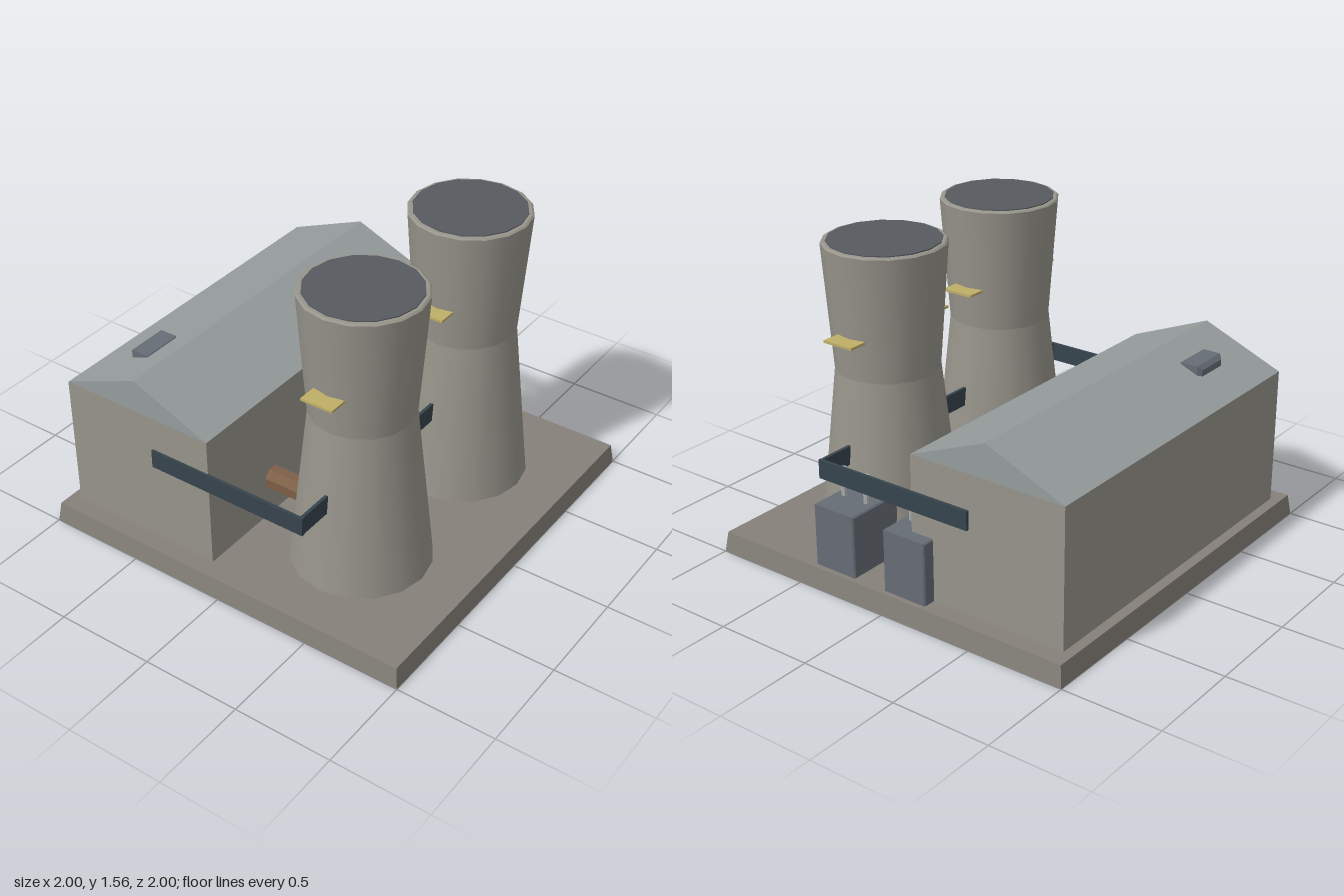
import * as THREE from 'three';

const mat = (color, flatShading = true) => new THREE.MeshStandardMaterial({ color, flatShading });
const concrete = mat(0x97948b);
const smoothConcrete = mat(0x97948b, false);
const slabGrey = mat(0x85817a);
const roofGrey = mat(0x969c9c);
const capGrey = mat(0x565b60);
const steel = mat(0x676d76);
const darkSteel = mat(0x36444d);
const pinGrey = mat(0xa8abac);
const tan = mat(0xbfae68);
const brown = mat(0x7d5f47);

function add(parent, name, geometry, material, x = 0, y = 0, z = 0) {
  const mesh = new THREE.Mesh(geometry, material);
  mesh.name = name;
  mesh.position.set(x, y, z);
  parent.add(mesh);
  return mesh;
}

// Box with small chamfered edges
function chamferBox(w, h, d, c) {
  const x = w / 2 - c, y = h / 2 - c;
  const shape = new THREE.Shape([
    new THREE.Vector2(-x, -y), new THREE.Vector2(x, -y),
    new THREE.Vector2(x, y), new THREE.Vector2(-x, y),
  ]);
  const g = new THREE.ExtrudeGeometry(shape, {
    depth: d - 2 * c, bevelEnabled: true, bevelSize: c, bevelThickness: c, bevelSegments: 1,
  });
  return g.translate(0, 0, -d / 2 + c);
}

// Box whose top face is drawn in by the given inset
function taperedBox(w, h, d, inset) {
  const g = new THREE.BoxGeometry(w, h, d);
  const p = g.attributes.position;
  for (let i = 0; i < p.count; i++) {
    if (p.getY(i) > 0) {
      p.setX(i, p.getX(i) - Math.sign(p.getX(i)) * inset);
      p.setZ(i, p.getZ(i) - Math.sign(p.getZ(i)) * inset);
    }
  }
  g.computeVertexNormals();
  return g;
}

function coolingTower(x) {
  const tower = new THREE.Group();
  tower.name = 'coolingTower';
  tower.position.set(x, 0, 0.415);
  const sides = 16;
  const shell = (name, top, bottom, y0, y1) => add(tower, name,
    new THREE.CylinderGeometry(top, bottom, y1 - y0, sides, 1, true), smoothConcrete, 0, (y0 + y1) / 2, 0);
  shell('lowerShell', 0.25, 0.342, 0.1, 0.94);
  shell('upperShell', 0.295, 0.25, 0.94, 1.55);
  shell('rimChamfer', 0.286, 0.295, 1.55, 1.557);
  add(tower, 'rim', new THREE.RingGeometry(0.26, 0.286, sides).rotateX(-Math.PI / 2), concrete, 0, 1.557, 0);
  add(tower, 'mouth', new THREE.CylinderGeometry(0.27, 0.27, 0.03, sides), capGrey, 0, 1.547, 0);
  // Service platforms on both flanks
  for (const s of [-1, 1]) {
    add(tower, 'platform', new THREE.BoxGeometry(0.12, 0.012, 0.166), tan, s * 0.285, 1.143, -0.003);
  }
  return tower;
}

function transformer(z, pins) {
  const unit = new THREE.Group();
  unit.name = 'transformer';
  unit.position.set(0.805, 0, z);
  add(unit, 'tank', chamferBox(0.31, 0.32, 0.24, 0.007), steel, 0, 0.257, 0);
  for (const p of pins) {
    add(unit, 'bushing', new THREE.CylinderGeometry(0.016, 0.016, 0.15, 8), pinGrey, 0, 0.485, p);
  }
  return unit;
}

export function createModel() {
  const model = new THREE.Group();
  model.name = 'powerPlant';

  add(model, 'baseSlab', taperedBox(2, 0.105, 2, 0.014), slabGrey, 0, 0.0525, 0);

  // Turbine hall with a gabled roof
  add(model, 'hallWalls', new THREE.BoxGeometry(1.794, 0.7, 0.83), concrete, -0.002, 0.447, -0.52);
  const gable = new THREE.Shape([
    new THREE.Vector2(-0.415, 0.797), new THREE.Vector2(0.415, 0.797), new THREE.Vector2(0, 0.967),
  ]);
  const roof = new THREE.ExtrudeGeometry(gable, { depth: 1.794, bevelEnabled: false });
  roof.translate(0, 0, -0.897).rotateY(Math.PI / 2);
  add(model, 'hallRoof', roof, roofGrey, -0.002, 0, -0.52);
  add(model, 'roofVent', chamferBox(0.21, 0.12, 0.13, 0.02), steel, -0.555, 0.862, -0.693);
  add(model, 'doorLamp', chamferBox(0.09, 0.046, 0.05, 0.006), tan, -0.003, 0.662, -0.095);

  for (const s of [-1, 1]) {
    model.add(coolingTower(s * 0.43));
    // Pipe from the hall to the tower
    const pipe = new THREE.CylinderGeometry(0.062, 0.062, 0.32, 8);
    pipe.rotateY(Math.PI / 8).rotateX(Math.PI / 2);
    add(model, 'coolingPipe', pipe, brown, s * 0.43, 0.312, 0.04);
    add(model, 'sideConduit', new THREE.BoxGeometry(0.016, 0.094, 0.86), darkSteel, s * 0.904, 0.576, 0.001);
  }
  add(model, 'frontConduit', new THREE.BoxGeometry(1.81, 0.094, 0.016), darkSteel, 0, 0.576, 0.42);

  model.add(transformer(-0.106, [0.073]));
  model.add(transformer(0.31, [-0.07, 0.067]));
  return model;
}
